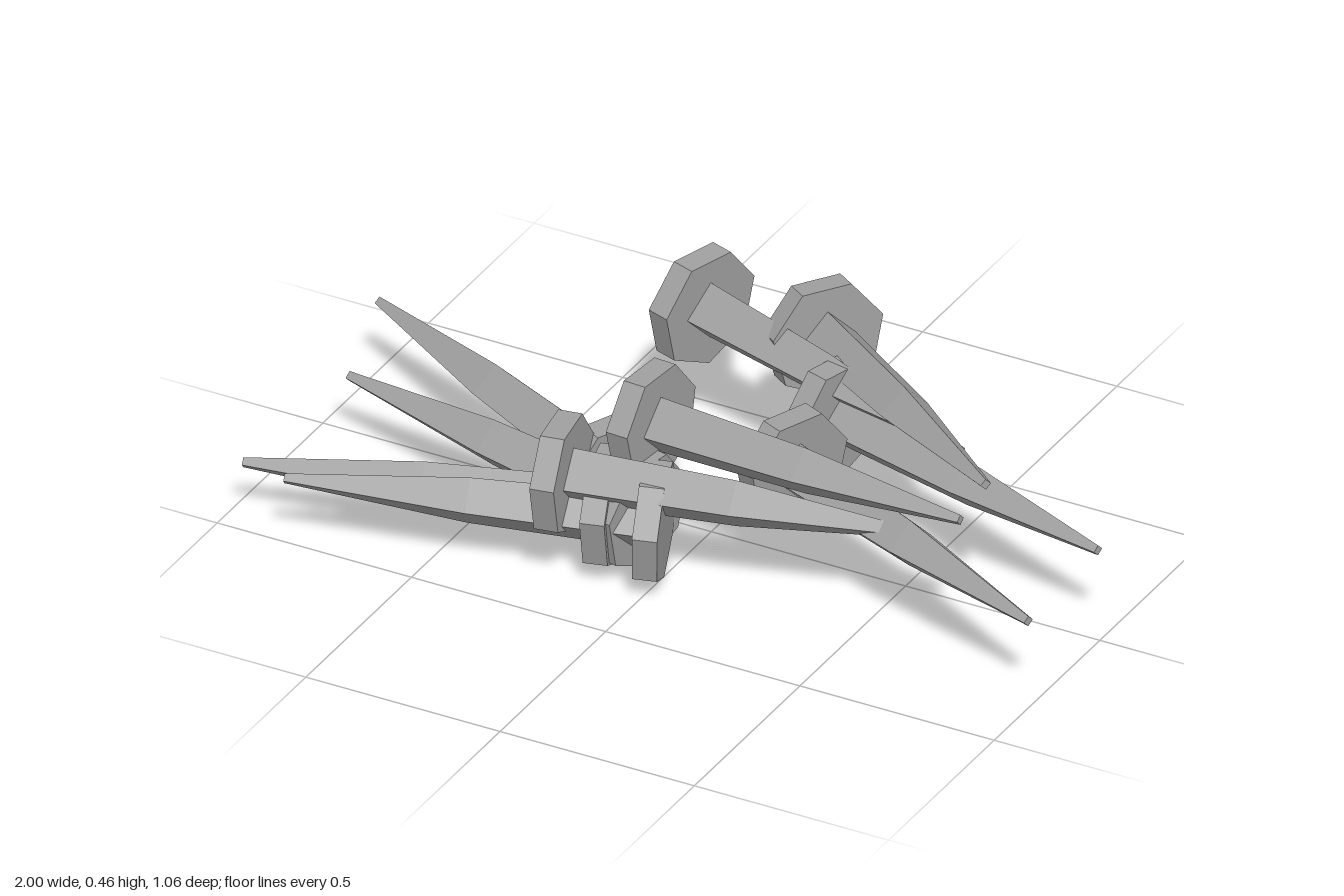
import * as THREE from 'three';

const steel = new THREE.MeshStandardMaterial({ color: 0xa0a0a0, flatShading: true });
steel.name = 'grey steel';

const HEAD_RADIUS = 0.142;
const HEAD_THICKNESS = 0.058;

// One spike: a seven-sided head and a four-sided tapering shaft, from head centre to tip
function makeSpike(head, tip) {
  const start = new THREE.Vector3(...head);
  const axis = new THREE.Vector3(...tip).sub(start);
  const length = axis.length();
  axis.normalize();

  const spike = new THREE.Group();
  const headMesh = new THREE.Mesh(
    new THREE.CylinderGeometry(HEAD_RADIUS, HEAD_RADIUS, HEAD_THICKNESS, 7), steel);
  headMesh.name = 'spikeHead';

  const profile = [[0.073, 0], [0.06, length * 0.5], [0.013, length], [0, length]]
    .map(([r, y]) => new THREE.Vector2(r, y));
  const shaft = new THREE.Mesh(new THREE.LatheGeometry(profile, 4), steel);
  shaft.name = 'spikeShaft';
  spike.add(headMesh, shaft);

  // Lay the spike along its axis, one head corner pointing down
  const side = new THREE.Vector3(0, -1, 0).cross(axis).normalize().negate();
  const down = new THREE.Vector3().crossVectors(side, axis);
  spike.quaternion.setFromRotationMatrix(new THREE.Matrix4().makeBasis(side, axis, down));
  spike.position.copy(start);
  return spike;
}

// Head centre and tip of every spike in the pile
const SPIKES = [
  // pointing to the left side
  [[-0.235, 0.327, -0.385], [0.57, 0.305, -0.135]],
  [[0.07, 0.327, -0.4], [0.75, 0.38, 0.08]],
  [[0.19, 0.237, -0.24], [0.99, 0.228, -0.01]],
  [[0.21, 0.237, 0.005], [0.99, 0.215, 0.32]],
  [[-0.09, 0.327, 0.12], [0.75, 0.35, 0.2]],
  [[-0.23, 0.237, 0.285], [0.6, 0.245, 0.15]],
  // pointing to the right side
  [[-0.215, 0.142, 0.085], [-0.995, 0.185, -0.258]],
  [[-0.08, 0.142, 0.2], [-0.91, 0.17, 0.04]],
  [[-0.147, 0.142, 0.225], [-0.967, 0.135, 0.437]],
  [[-0.02, 0.142, 0.235], [-0.82, 0.175, 0.513]],
];

export function createModel() {
  const pile = new THREE.Group();
  pile.name = 'spikePile';
  SPIKES.forEach(([head, tip], i) => {
    const spike = makeSpike(head, tip);
    spike.name = `spike${i + 1}`;
    pile.add(spike);
  });
  return pile;
}
